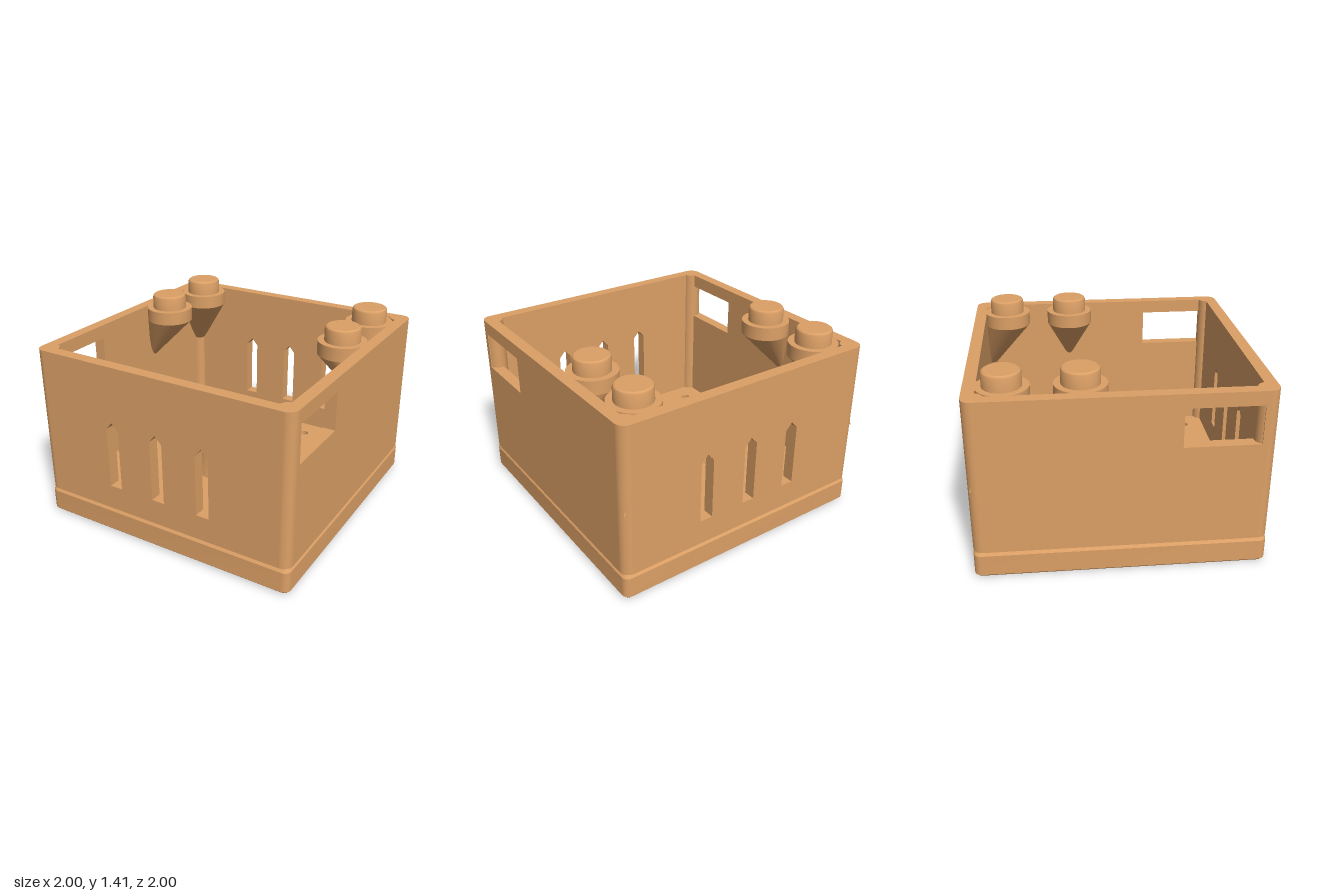
import * as THREE from 'three';
import { toCreasedNormals } from 'three/addons/utils/BufferGeometryUtils.js';

const WALL = 0.085, FLOOR = 0.2, TOP = 1.3;

export function createModel() {
  const group = new THREE.Group();
  const tan = new THREE.MeshStandardMaterial({ color: 0xdca066, side: THREE.DoubleSide });
  tan.name = 'tan';

  const add = (name, geo, x = 0, y = 0, z = 0) => {
    const mesh = new THREE.Mesh(toCreasedNormals(geo, 0.5), tan);
    mesh.name = name;
    mesh.position.set(x, y, z);
    group.add(mesh);
    return mesh;
  };
  const lathe = (pts, seg = 40) =>
    new THREE.LatheGeometry(pts.map(([r, y]) => new THREE.Vector2(r, y)), seg);
  const poly = (pts) => pts.map(([x, y]) => new THREE.Vector2(x, y));

  // Rounded square outline, half size h
  const outline = (h) => {
    const r = 0.05 - (1 - h), c = h - r, pts = [];
    for (let q = 0; q < 4; q++) {
      const mid = (q + 0.5) * Math.PI / 2;
      for (let i = 0; i <= 6; i++) {
        const a = (q + i / 6) * Math.PI / 2;
        pts.push(new THREE.Vector2(
          c * Math.sign(Math.cos(mid)) + r * Math.cos(a),
          c * Math.sign(Math.sin(mid)) + r * Math.sin(a)));
      }
    }
    return pts;
  };

  // Base: bevelled rim, underside and floor, joined by sockets
  const rings = [[0.98, 0], [1, 0.02], [1, 0.17], [0.98, FLOOR]];
  const pos = [], idx = [], n = 28;
  rings.forEach(([h, y], k) => {
    outline(h).forEach((p, i) => {
      pos.push(p.x, y, p.y);
      if (k === 0) return;
      const j = (i + 1) % n, a = (k - 1) * n;
      idx.push(a + i, a + n + i, a + j, a + j, a + n + i, a + n + j);
    });
  });
  const rim = new THREE.BufferGeometry();
  rim.setAttribute('position', new THREE.Float32BufferAttribute(pos, 3));
  rim.setIndex(idx);
  add('baseRim', rim);

  const grid = [-0.75, -0.25, 0.25, 0.75];
  const plate = (radius) => {
    const s = new THREE.Shape(outline(0.98));
    for (const x of grid) for (const z of grid)
      s.holes.push(new THREE.Path().absarc(x, z, radius, 0, Math.PI * 2, true));
    return new THREE.ShapeGeometry(s, 20);
  };
  add('underside', plate(0.155).rotateX(Math.PI / 2));
  add('floor', plate(0.035).rotateX(-Math.PI / 2), 0, FLOOR);
  for (const x of grid) for (const z of grid)
    add('socket', lathe([[0.035, FLOOR], [0.035, 0.13], [0.138, 0.13], [0.138, 0.02], [0.155, 0]]), x, 0, z);

  // Walls with pointed slits (front, back) and windows (sides)
  const panel = (holes) => {
    const s = new THREE.Shape(poly([[-0.93, FLOOR], [0.93, FLOOR], [0.93, TOP], [-0.93, TOP]]));
    for (const h of holes) s.holes.push(new THREE.Path(poly(h)));
    return new THREE.ExtrudeGeometry(s, { depth: WALL, bevelEnabled: false });
  };
  const slits = [-0.36, 0, 0.36].map((x) => [
    [x - 0.049, 0.385], [x - 0.049, 0.835], [x, 0.89], [x + 0.049, 0.835], [x + 0.049, 0.385]]);
  const sideWindow = [[-0.9, 0.925], [-0.9, 1.2], [-0.385, 1.2], [-0.385, 0.925]];
  add('frontWall', panel(slits), 0, 0, 1 - WALL);
  add('backWall', panel(slits), 0, 0, -1);
  add('leftWall', panel([sideWindow]).rotateY(Math.PI / 2), 1 - WALL);
  add('rightWall', panel([sideWindow]).rotateY(Math.PI / 2), -1);
  for (const x of [-0.93, 0.93]) for (const z of [-0.93, 0.93])
    add('cornerPost', new THREE.CylinderGeometry(0.07, 0.07, TOP - FLOOR, 32), x, (TOP + FLOOR) / 2, z);

  // Studs on collars, each held by a slanted cone running into the wall
  const bracket = (side, z, tipX, tipY, tipZ) => {
    const x = side * 0.75, h = 1.2 - tipY;
    add('stud', lathe([[0.13, 1.28], [0.13, 1.39], [0.125, 1.403], [0.115, 1.41], [0, 1.41]]), x, 0, z);
    add('collar', new THREE.CylinderGeometry(0.177, 0.177, TOP - 1.2, 40), x, (TOP + 1.2) / 2, z);
    const cone = new THREE.CylinderGeometry(0.177, 0.004, h, 40, 1, true);
    const p = cone.attributes.position;
    for (let i = 0; i < p.count; i++) {
      const t = 0.5 - p.getY(i) / h;
      p.setX(i, p.getX(i) + t * (side * tipX - x));
      p.setZ(i, p.getZ(i) + t * (tipZ - z));
    }
    add('supportCone', cone, x, 1.2 - h / 2, z);
  };
  for (const side of [-1, 1]) {
    bracket(side, -0.25, 0.96, 0.82, -0.25);
    bracket(side, -0.75, 0.983, 0.66, -0.983);
  }

  // Central pedestal with a round recess
  add('pedestal', lathe([[0.31, FLOOR], [0.25, 0.42], [0.155, 0.42], [0.145, 0.41], [0.145, 0.28], [0, 0.28]], 56));

  return group;
}
